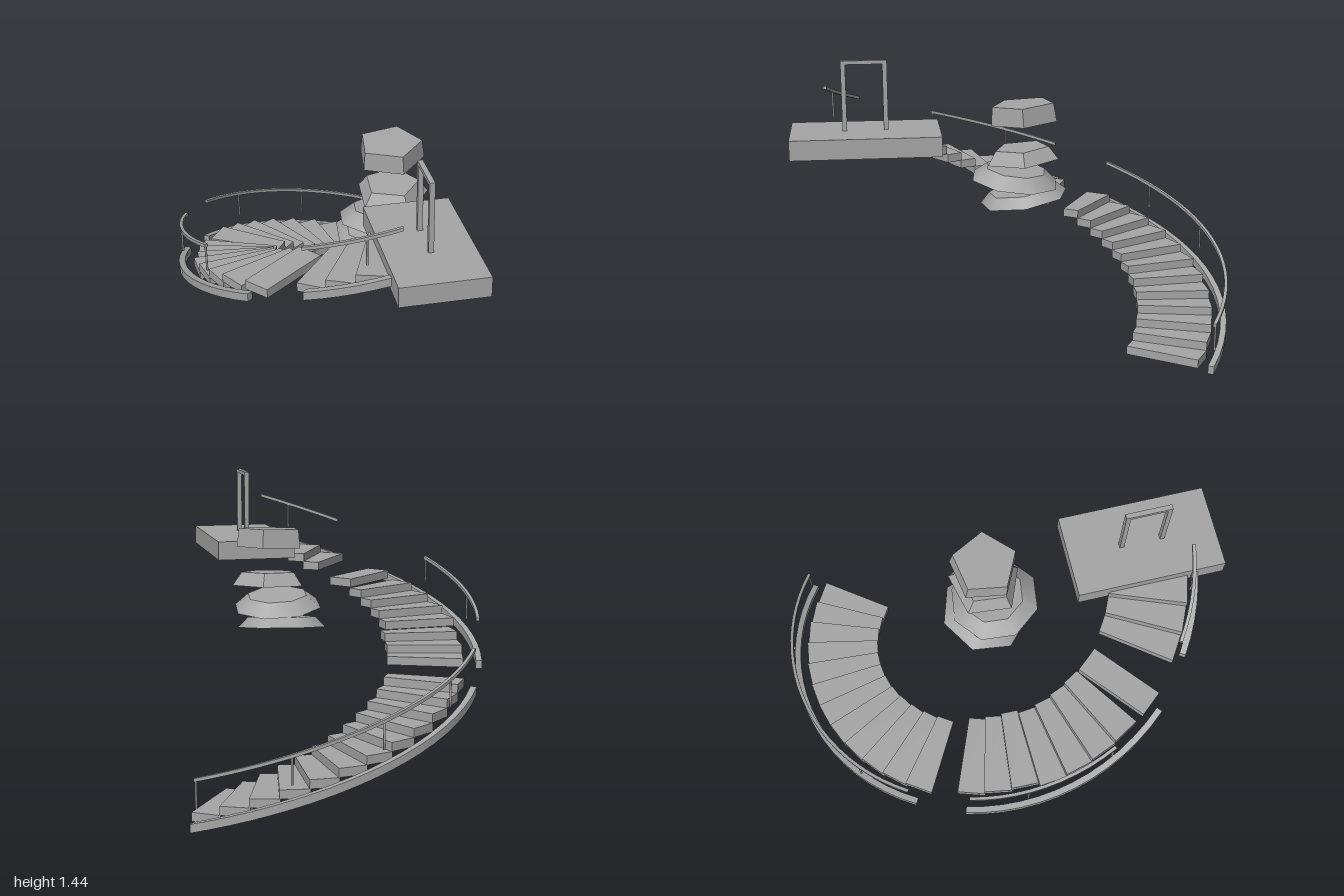
import * as THREE from 'three';

const RISE = 0.0051; // climb per degree of turn
const rad = THREE.MathUtils.degToRad;

// Box bent round the spiral axis: from angle a0 to a1, centred on radius r, climbing from y0 to y1
function bent(a0, a1, r, width, y0, y1, height, segments = 1) {
  const g = new THREE.BoxGeometry(1, height, width, segments, 1, 1);
  const p = g.attributes.position;
  for (let i = 0; i < p.count; i++) {
    const t = p.getX(i) + 0.5;
    const a = rad(a0 + t * (a1 - a0));
    const R = r + p.getZ(i);
    p.setXYZ(i, R * Math.cos(a), p.getY(i) + y0 + t * (y1 - y0), -R * Math.sin(a));
  }
  g.computeVertexNormals();
  return g;
}

export function createModel() {
  const stone = new THREE.MeshStandardMaterial({ color: 0xa6a6a6 });
  stone.name = 'grey stone';
  const model = new THREE.Group();
  model.name = 'brokenSpiralStair';
  const add = (parent, name, geometry, x = 0, y = 0, z = 0) => {
    const m = new THREE.Mesh(geometry, stone);
    m.name = name;
    m.position.set(x, y, z);
    parent.add(m);
    return m;
  };

  const stair = new THREE.Group();
  stair.name = 'stair';
  stair.position.set(0.02, 0, 0.02);
  model.add(stair);

  // Wedge steps: start angle, count, bottom of first step, mid radius
  const flights = [
    [14, 12, 0.03, 0.76],
    [118, 3, 0.556, 0.743],
    [142, 4, 0.684, 0.768],
    [193, 3, 0.93, 0.768],
  ];
  for (const [start, count, y, r] of flights) {
    for (let i = 0; i < count; i++) {
      const a = start + i * 8;
      const mid = y + i * 0.0418 + 0.021;
      add(stair, 'step', bent(a, a + 8.3, r, 0.37, mid, mid, 0.042));
    }
  }
  add(model, 'looseStep', new THREE.BoxGeometry(0.37, 0.043, 0.13), -0.755, 0.876, 0.025);

  // Outer stringers: start angle, end angle, radius
  const stringerY = (a) => 0.022 + RISE * (a - 15.5);
  for (const [a0, a1, r] of [[15.5, 107, 1.0], [121, 180.5, 1.005], [196, 219, 0.985]]) {
    add(stair, 'stringer', bent(a0, a1, r, 0.03, stringerY(a0), stringerY(a1), 0.04, Math.round((a1 - a0) / 5)));
  }

  // Handrails with thin posts: start, end, radius, post angles
  const railY = (a) => 0.245 + RISE * (a - 17);
  const rails = [
    [16.5, 105, 1.005, [17, 41, 65, 89]],
    [122, 163, 0.995, [138, 162.5]],
    [195, 221, 0.955, [212]],
  ];
  for (const [a0, a1, r, posts] of rails) {
    add(stair, 'handrail', bent(a0, a1, r, 0.016, railY(a0), railY(a1), 0.016, Math.round((a1 - a0) / 4)));
    for (const a of posts) {
      add(stair, 'railPost', new THREE.CylinderGeometry(0.005, 0.005, 0.13, 8),
        r * Math.cos(rad(a)), railY(a) - 0.065, -r * Math.sin(rad(a)));
    }
  }

  // Top landing with a free-standing door frame
  const landing = new THREE.Group();
  landing.name = 'landing';
  landing.position.set(-0.47, 0, 0.595);
  landing.rotation.y = rad(49.5);
  model.add(landing);
  add(landing, 'platform', new THREE.BoxGeometry(0.71, 0.095, 0.4), 0, 1.0575, 0);
  for (const s of [-1, 1]) {
    add(landing, 'doorPost', new THREE.BoxGeometry(0.022, 0.32, 0.024), s * 0.098, 1.265, 0);
  }
  add(landing, 'doorLintel', new THREE.BoxGeometry(0.218, 0.018, 0.024), 0, 1.431, 0);

  // Floating stones: top radius, bottom radius, height, sides, position, spin, tilt x, tilt z
  const stones = [
    [0.155, 0.165, 0.09, 5, [0.035, 1.173, 0.03], 186, 2, 4],
    [0.135, 0.18, 0.065, 5, [0.035, 0.972, 0.04], 190, 3, 4],
    [0.15, 0.22, 0.06, 8, [-0.02, 0.857, 0.03], 20, -2, -7],
    [0.17, 0.22, 0.05, 7, [-0.005, 0.755, -0.01], 200, 6, 7],
  ];
  for (const [top, bottom, h, sides, pos, spin, tx, tz] of stones) {
    let g = new THREE.CylinderGeometry(top, bottom, h, sides);
    if (sides === 5) {
      g = g.toNonIndexed();
      g.computeVertexNormals();
    }
    g.rotateY(rad(spin));
    add(model, 'floatingStone', g, ...pos).rotation.set(rad(tx), 0, rad(tz));
  }
  return model;
}
